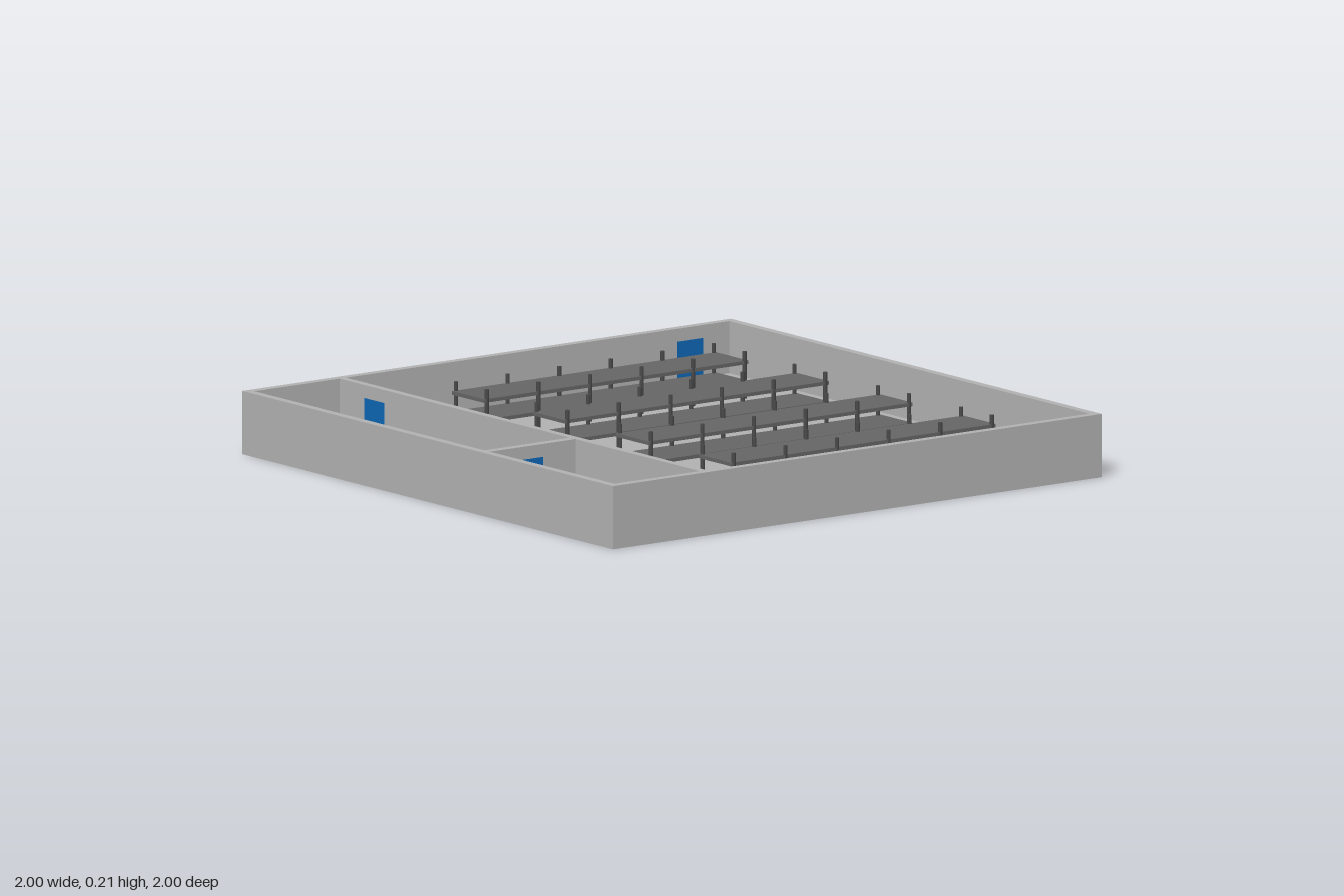
import * as THREE from 'three';

const FLOOR = 0.037, TOP = 0.21;
const mat = (color) => new THREE.MeshStandardMaterial({ color });

function box(name, material, x0, x1, y0, y1, z0, z1) {
  const mesh = new THREE.Mesh(new THREE.BoxGeometry(x1 - x0, y1 - y0, z1 - z0), material);
  mesh.position.set((x0 + x1) / 2, (y0 + y1) / 2, (z0 + z1) / 2);
  mesh.name = name;
  return mesh;
}

// Counter-clockwise rectangle on the floor plan; the plan's vertical axis is -z
function addRect(path, x0, x1, z0, z1) {
  path.moveTo(x0, -z1);
  path.lineTo(x1, -z1);
  path.lineTo(x1, -z0);
  path.lineTo(x0, -z0);
  path.closePath();
  return path;
}

// Two-deck storage rack with six pairs of round posts
function makeRack(x, deckMat, postMat) {
  const rack = new THREE.Group();
  rack.name = 'storageRack';
  for (const top of [0.095, 0.162]) {
    rack.add(box('rackDeck', deckMat, -0.087, 0.087, top - 0.012, top, -0.769, 0.311));
  }
  const height = 0.193 - FLOOR;
  const postGeo = new THREE.CylinderGeometry(0.007, 0.007, height, 12);
  for (const side of [-1, 1]) {
    for (let i = 0; i < 6; i++) {
      const post = new THREE.Mesh(postGeo, postMat);
      post.name = 'rackPost';
      post.position.set(side * 0.083, FLOOR + height / 2, -0.757 + i * 0.211);
      rack.add(post);
    }
  }
  rack.position.x = x;
  return rack;
}

export function createModel() {
  const model = new THREE.Group();
  model.name = 'warehouse';
  const grey = mat(0xb0b0b0);
  const blue = mat(0x0d66b3);
  const deckMat = mat(0x646464);
  const postMat = mat(0x484848);

  // Floor slab
  model.add(box('floorSlab', grey, -1, 1, 0, FLOOR, -1, 1));

  // Outer walls and partitions standing on the slab: one plan with an opening per room
  const plan = addRect(new THREE.Shape(), -1, 1, -1, 1);
  const rooms = [
    [-0.971, 0.971, -0.971, 0.595], // storage hall
    [-0.971, 0.269, 0.622, 0.971],  // long front room
    [0.299, 0.971, 0.622, 0.971],   // short front room
  ];
  for (const r of rooms) plan.holes.push(addRect(new THREE.Path(), ...r));
  const wallGeo = new THREE.ExtrudeGeometry(plan, { depth: TOP - FLOOR, bevelEnabled: false });
  wallGeo.rotateX(-Math.PI / 2);
  const walls = new THREE.Mesh(wallGeo, grey);
  walls.name = 'walls';
  walls.position.y = FLOOR;
  model.add(walls);

  // Doors, a hair proud of the walls on both sides
  const e = 0.0006, doorTop = 0.167;
  model.add(box('sideDoor', blue, -1 - e, -0.971 + e, FLOOR, doorTop, -0.865, -0.757));
  model.add(box('hallDoor', blue, -0.837, -0.729, FLOOR, doorTop, 0.595 - e, 0.622 + e));
  model.add(box('roomDoor', blue, 0.269 - e, 0.299 + e, FLOOR, doorTop, 0.755, 0.865));

  // Row of racks
  for (const x of [-0.689, -0.255, 0.196, 0.643]) model.add(makeRack(x, deckMat, postMat));

  return model;
}
